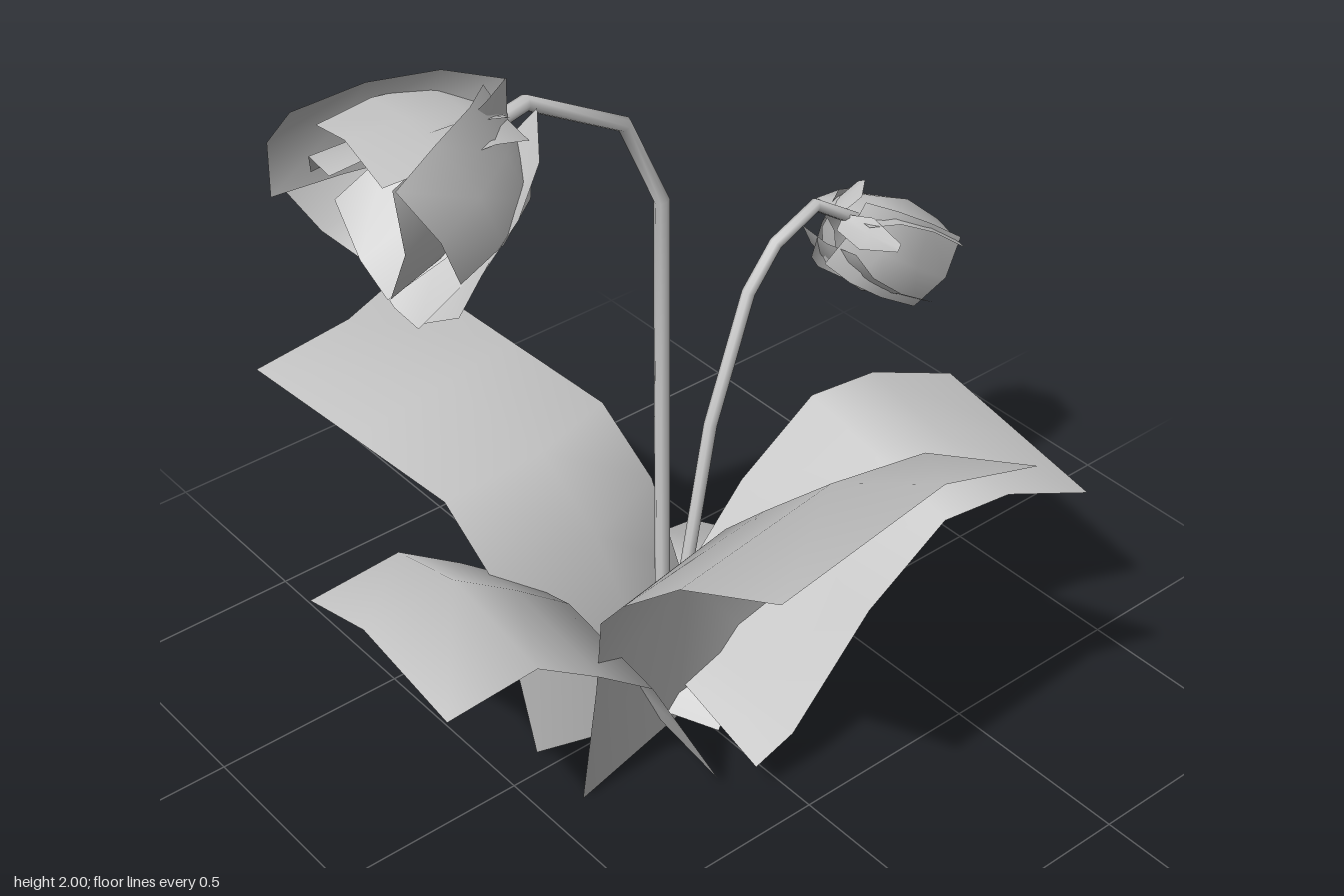
import * as THREE from 'three';

const material = new THREE.MeshStandardMaterial({ color: 0xcccccc, side: THREE.DoubleSide });
const V = (p) => new THREE.Vector3(...p);

// Thin smooth sheet lofted through rows of [left, middle, right] points
function sheet(name, rows) {
  const index = [], n = 3;
  for (let j = 0; j < rows.length - 1; j++) {
    for (let i = 0; i < n - 1; i++) {
      const a = j * n + i;
      index.push(a, a + 1, a + n, a + 1, a + n + 1, a + n);
    }
  }
  const geo = new THREE.BufferGeometry();
  geo.setAttribute('position', new THREE.Float32BufferAttribute(rows.flat(2), 3));
  geo.setIndex(index);
  geo.computeVertexNormals();
  const mesh = new THREE.Mesh(geo, material);
  mesh.name = name;
  return mesh;
}

// Stem with one ring per path point, so its bends stay angular
function stem(name, points, radius) {
  const curve = new THREE.CatmullRomCurve3(points.map(V));
  curve.getPointAt = (t, target) => curve.getPoint(t, target);
  curve.getTangentAt = (t, target) => curve.getTangent(t, target);
  const mesh = new THREE.Mesh(new THREE.TubeGeometry(curve, points.length - 1, radius, 8), material);
  mesh.name = name;
  return mesh;
}

// Petals around local +y. profile: [along, radius, halfWidth, cup]
// petals: [angle in degrees, spread, length, twist]
function flower(name, base, direction, profile, petals) {
  const group = new THREE.Group();
  group.name = name;
  petals.forEach(([angle, spread, length, twist]) => {
    const rows = profile.map(([y, r, w, cup]) => {
      const h = y * length, rad = r * spread, tilt = twist * w;
      return [[rad - cup, h - tilt, -w], [rad, h, 0], [rad - cup, h + tilt, w]];
    });
    const petal = sheet('petal', rows);
    petal.rotation.y = THREE.MathUtils.degToRad(angle);
    group.add(petal);
  });
  group.position.copy(V(base));
  group.quaternion.setFromUnitVectors(new THREE.Vector3(0, 1, 0), V(direction).normalize());
  return group;
}

export function createModel() {
  const model = new THREE.Group();
  model.name = 'floweringPlant';

  // Broad arching leaves
  model.add(sheet('frontLeaf', [
    [[-0.40, 0.0, 0.14], [-0.05, 0.01, 0.07], [0.26, 0.03, 0.11]],
    [[-0.43, 0.43, 0.24], [-0.04, 0.46, 0.10], [0.245, 0.45, 0.24]],
    [[-0.445, 0.66, 0.28], [-0.04, 0.69, 0.23], [0.235, 0.68, 0.28]],
    [[-0.46, 0.78, 0.38], [-0.04, 0.82, 0.36], [0.225, 0.80, 0.38]],
    [[-0.47, 0.96, 0.58], [-0.04, 1.02, 0.57], [0.21, 1.00, 0.60]],
    [[-0.48, 1.13, 0.90], [-0.03, 1.20, 0.89], [0.19, 1.17, 0.94]],
  ]));
  model.add(sheet('backLeaf', [
    [[-0.40, 0.02, -0.04], [-0.11, 0.0, 0.03], [0.15, 0.01, -0.08]],
    [[-0.43, 0.33, -0.08], [-0.13, 0.30, 0.0], [0.13, 0.27, -0.14]],
    [[-0.45, 0.54, -0.13], [-0.16, 0.53, -0.10], [0.11, 0.50, -0.22]],
    [[-0.49, 0.71, -0.24], [-0.20, 0.71, -0.25], [0.07, 0.67, -0.36]],
    [[-0.56, 0.78, -0.50], [-0.27, 0.79, -0.53], [-0.01, 0.75, -0.62]],
    [[-0.64, 0.86, -0.78], [-0.35, 0.86, -0.82], [-0.10, 0.84, -0.94]],
  ]));
  const leftProfile = [[-0.13, 0.05], [-0.22, 0.23], [-0.33, 0.45], [-0.48, 0.57], [-0.65, 0.69], [-0.89, 0.675]];
  model.add(sheet('leftLeaf', leftProfile.map(([x, y]) => [
    [x, y - 0.02, 0.32], [x + 0.01, y + 0.02, 0.0], [x, y - 0.02, -0.20],
  ])));
  const rightProfile = [[-0.04, 0.11], [0.06, 0.17], [0.26, 0.46], [0.46, 0.645], [0.64, 0.65], [0.88, 0.56]];
  model.add(sheet('rightLeaf', rightProfile.map(([x, y]) => {
    const z = 0.13 + 0.16 * x;
    return [[x - 0.05, y, z + 0.285], [x, y, z], [x + 0.05, y, z - 0.285]];
  })));
  const smallProfile = [[-0.12, 0.06, 0.05], [0.02, 0.13, -0.02], [0.17, 0.245, -0.09], [0.33, 0.19, -0.18], [0.50, 0.09, -0.265]];
  model.add(sheet('smallLeaf', smallProfile.map(([x, y, z]) => [
    [x + 0.08, y, z + 0.165], [x, y + 0.01, z], [x - 0.08, y, z - 0.165],
  ])));

  // Drooping stems
  model.add(stem('tallStem', [
    [-0.10, 0.35, 0.075], [-0.10, 0.95, 0.075], [-0.10, 1.52, 0.075],
    [-0.20, 1.74, 0.075], [-0.45, 1.88, 0.075], [-0.54, 1.86, 0.075],
  ], 0.018));
  model.add(stem('shortStem', [
    [-0.04, 0.2, 0.045], [0.0, 0.45, 0.045], [0.07, 0.83, 0.045], [0.18, 1.15, 0.045],
    [0.26, 1.25, 0.045], [0.38, 1.305, 0.045], [0.52, 1.21, 0.045],
  ], 0.016));

  // Open blossom: loose outer ring and tighter inner ring
  model.add(flower('openFlower', [-0.51, 1.86, 0.075], [-1, -0.21, 0.07],
    [[0, 0.03, 0.10, 0.01], [0.09, 0.12, 0.12, 0.02], [0.22, 0.19, 0.13, 0.03], [0.36, 0.24, 0.12, 0.04]],
    [[0, 0.82, 1.0, 0.15], [72, 1.05, 1.08, -0.2], [130, 1.1, 0.95, 0.3], [180, 1.08, 0.95, -0.25],
      [228, 1.1, 0.9, 0.3], [288, 1.08, 1.0, -0.2],
      [38, 0.65, 1.08, 0.3], [160, 0.65, 1.0, -0.3], [270, 0.6, 1.05, 0.25]]));

  // Half closed bud of wide petals
  model.add(flower('bud', [0.47, 1.20, 0.02], [0.81, -0.58, -0.01],
    [[0, 0.045, 0.085, 0.01], [0.08, 0.1, 0.1, 0.03], [0.2, 0.122, 0.105, 0.04], [0.345, 0.105, 0.1, 0.03]],
    [[0, 1, 1, 0.08], [80, 0.95, 0.98, -0.1], [180, 1, 1.02, -0.08], [275, 0.98, 1, 0.1]]));

  // Small pointed sepals behind the bud
  model.add(flower('sepals', [0.47, 1.22, 0.035], [0.81, -0.58, -0.03],
    [[-0.02, 0.015, 0.02, 0], [0.03, 0.07, 0.04, 0.01], [0.09, 0.12, 0.01, 0]],
    [[30, 1, 1, 0], [150, 1, 1, 0], [270, 1, 1, 0]]));

  return model;
}
